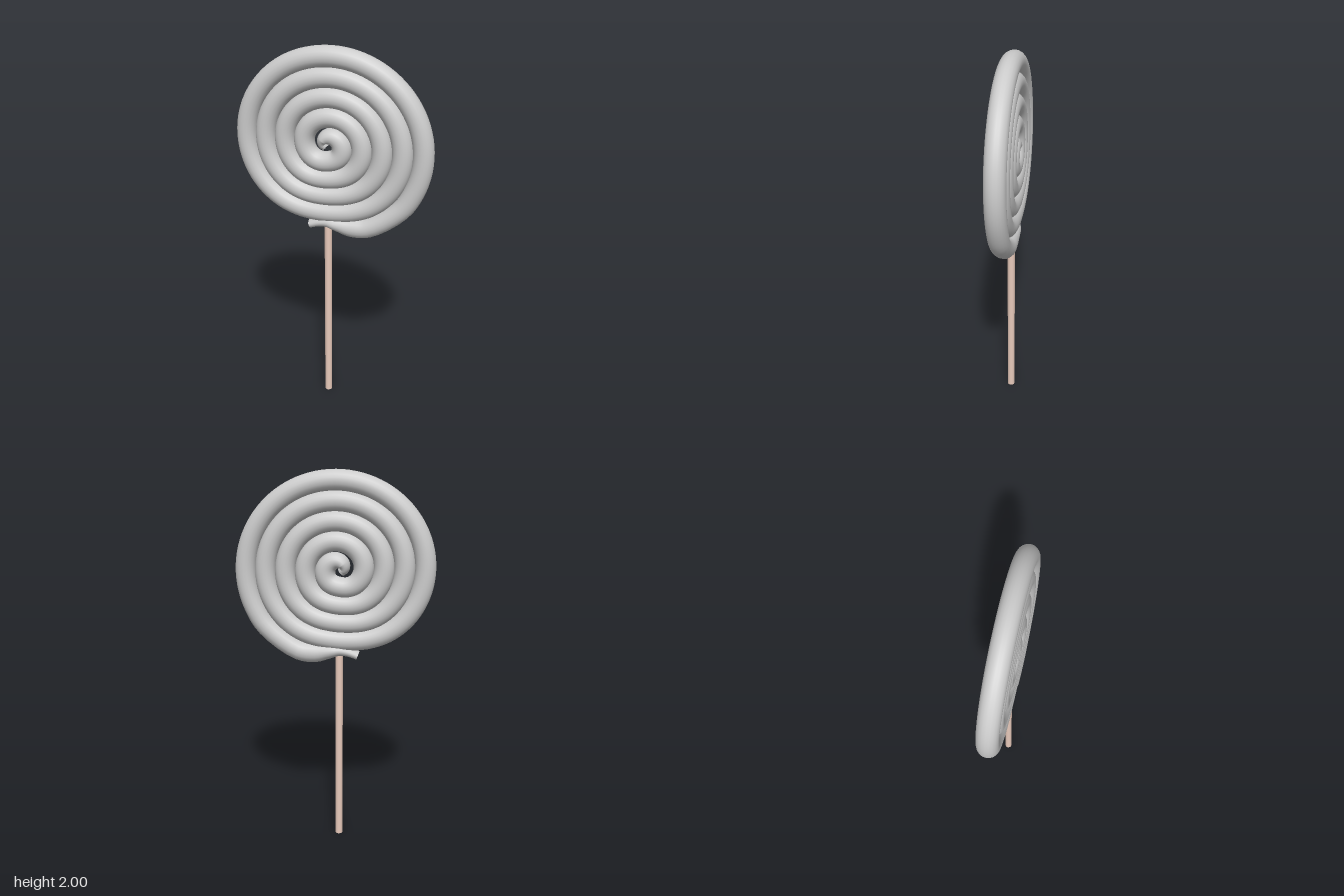
import * as THREE from 'three';

const CX = -0.03, CY = 1.5, R = 0.053;

// Centre line of the rope; the third component carries its radius.
function ropePath() {
  const pts = [];
  for (let u = 0.1; u < 4.88; u += 0.04) {
    const a = u * Math.PI * 2;
    let r = Math.max(0.015, 0.1044 * u - 0.006);
    // flattened underside of each turn, above the stick
    const k = Math.round(u);
    if (k >= 1 && k <= 4) r -= 0.0075 * k * Math.exp(-(((u - k) / 0.09) ** 2));
    const rad = R * (0.42 + 0.58 * THREE.MathUtils.smoothstep(u, 0.1, 0.8));
    pts.push(new THREE.Vector3(CX - r * Math.sin(a), CY - 0.97 * r * Math.cos(a), rad));
  }
  // loose tail tucked across the top of the stick
  [[0.19, 1.07, R], [0.1, 1.058, R], [0.03, 1.068, 0.042], [-0.03, 1.076, 0.031],
    [-0.08, 1.068, 0.026], [-0.13, 1.05, 0.023]].forEach(p => pts.push(new THREE.Vector3(...p)));
  return new THREE.CatmullRomCurve3(pts, false, 'centripetal');
}

// Sweeps an elliptical section along the flat path, with flat ends.
function ropeGeometry(steps = 480, sides = 20) {
  const path = ropePath();
  const pos = [], idx = [];
  let rings = 0;
  const ring = (t, scale) => {
    const p = path.getPoint(t), d = path.getTangent(t);
    const len = Math.hypot(d.x, d.y);
    const rad = p.z * scale, depth = Math.min(0.053, p.z * 1.5) * scale;
    for (let j = 0; j < sides; j++) {
      const a = (j / sides) * Math.PI * 2, c = Math.cos(a) * rad;
      pos.push(p.x + (d.y / len) * c, p.y - (d.x / len) * c,
        Math.sin(a) * depth + 0.01 * (p.y - CY));
    }
    return rings++;
  };
  const join = (r0, r1) => {
    for (let j = 0; j < sides; j++) {
      const k = (j + 1) % sides;
      const a = r0 * sides + j, b = r1 * sides + j, c = r0 * sides + k, d = r1 * sides + k;
      idx.push(a, b, c, c, b, d);
    }
  };
  join(ring(0, 0), ring(0, 1)); // inner end
  let prev = ring(0, 1);
  for (let i = 1; i <= steps; i++) {
    const next = ring(i / steps, 1);
    join(prev, next);
    prev = next;
  }
  join(ring(1, 1), ring(1, 0)); // tail end
  const g = new THREE.BufferGeometry();
  g.setAttribute('position', new THREE.Float32BufferAttribute(pos, 3));
  g.setIndex(idx);
  g.computeVertexNormals();
  return g;
}

export function createModel() {
  const group = new THREE.Group();
  group.name = 'lollipop';

  const candy = new THREE.Mesh(ropeGeometry(), new THREE.MeshStandardMaterial({ color: 0xcccccc }));
  candy.name = 'candySpiral';

  // stick, ending inside the candy
  const stick = new THREE.Mesh(new THREE.CylinderGeometry(0.02, 0.02, 1.08, 16),
    new THREE.MeshStandardMaterial({ color: 0xe8cabb }));
  stick.name = 'stick';
  stick.position.set(CX, 0.54, 0);

  group.add(candy, stick);
  return group;
}
